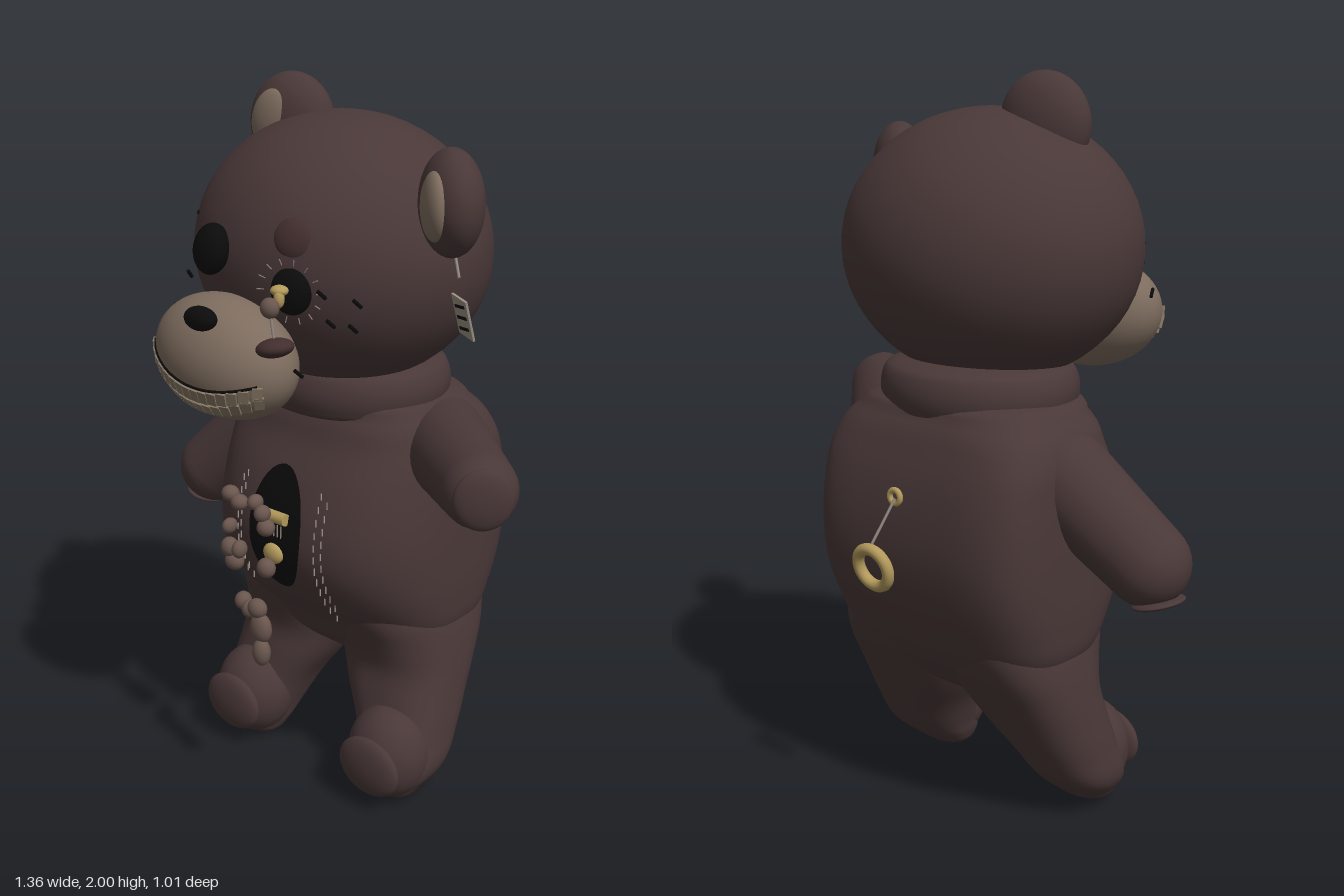
import * as THREE from 'three';

const mat = (name, color) => Object.assign(new THREE.MeshStandardMaterial({ color }), { name });
const V = (x, y, z) => new THREE.Vector3(x, y, z);

export function createModel() {
  const root = new THREE.Group();
  root.name = 'tornBear';
  const fur = mat('dark brown fur', 0x4a3838);
  const tan = mat('tan plush', 0x7d6c5e);
  const black = mat('black', 0x0c0b0b);
  const brass = mat('brass', 0xb39a5c);
  const gut = mat('brown stuffing', 0x6a564e);
  const socketMat = mat('reddish socket', 0x432e2e);
  const thread = mat('grey thread', 0x91877f);
  const ivory = mat('ivory teeth', 0x857663);
  const card = mat('tag card', 0x9a9284);

  const add = (name, geo, m, pos, parent = root) => {
    const mesh = new THREE.Mesh(geo, m);
    mesh.name = name;
    if (pos) mesh.position.copy(pos);
    parent.add(mesh);
    return mesh;
  };
  const ball = new THREE.SphereGeometry(1, 40, 28);
  const smallBall = new THREE.SphereGeometry(1, 16, 12);
  const blob = (name, m, p, r, parent = root, geo = ball) => {
    const mesh = add(name, geo, m, V(...p), parent);
    mesh.scale.set(...r);
    return mesh;
  };
  // Rod between two points
  const rod = (name, m, a, b, r, parent = root) => {
    const d = b.clone().sub(a);
    const mesh = add(name, new THREE.CylinderGeometry(r, r, d.length(), 6), m, a.clone().lerp(b, 0.5), parent);
    mesh.quaternion.setFromUnitVectors(V(0, 1, 0), d.normalize());
    return mesh;
  };
  // Tapered limb with round ends
  const limb = (name, a, b, r1, r2) => {
    const d = b.clone().sub(a), len = d.length(), pts = [];
    for (let i = 0; i <= 8; i++) {
      const t = (i / 8) * Math.PI / 2;
      pts.push(new THREE.Vector2(r1 * Math.sin(t), -r1 * Math.cos(t)));
    }
    for (let i = 0; i <= 8; i++) {
      const t = (i / 8) * Math.PI / 2;
      pts.push(new THREE.Vector2(r2 * Math.cos(t), len + r2 * Math.sin(t)));
    }
    add(name, new THREE.LatheGeometry(pts, 32), fur, a).quaternion.setFromUnitVectors(V(0, 1, 0), d.normalize());
  };

  // Vertical loft; each row is [y, centreX, halfWidth, frontZ, backZ, backSquareness]
  const FRONT = 2.5;
  const track = (rows) => new THREE.CubicInterpolant(rows.map((r) => r[0]), rows.flatMap((r) => r.slice(1)), 5);
  const loft = (rows, side, offset) => {
    const tr = track(rows), n = 52, c = 64, pos = [], idx = [];
    const y0 = rows[0][0], y1 = rows[rows.length - 1][0];
    for (let j = 0; j <= n; j++) {
      const y = y0 + (y1 - y0) * (0.5 - 0.5 * Math.cos((j / n) * Math.PI));
      const [cx, hx, zf, zb, square] = tr.evaluate(y);
      const zc = (zf + zb) / 2, hz = (zf - zb) / 2;
      for (let i = 0; i < c; i++) {
        const a = (i / c) * Math.PI * 2, co = Math.cos(a), si = Math.sin(a);
        const e = 2 / (si >= 0 ? FRONT : square);
        pos.push(offset + side * cx + hx * Math.sign(co) * Math.abs(co) ** e, y, zc + hz * Math.sign(si) * Math.abs(si) ** e);
        if (j < n) {
          const p = j * c + i, q = j * c + (i + 1) % c;
          idx.push(p, p + c, q, q, p + c, q + c);
        }
      }
    }
    const g = new THREE.BufferGeometry();
    g.setAttribute('position', new THREE.Float32BufferAttribute(pos, 3));
    g.setIndex(idx);
    g.computeVertexNormals();
    return g;
  };

  // Torso
  const torso = [
    [0.32, 0, 0.02, -0.1, -0.14, 2.5], [0.36, 0, 0.17, -0.02, -0.22, 2.6], [0.42, 0, 0.29, 0.05, -0.285, 2.8],
    [0.5, 0, 0.355, 0.1, -0.345, 3.2], [0.6, 0, 0.372, 0.18, -0.385, 4], [0.7, 0, 0.375, 0.23, -0.41, 4.8],
    [0.8, 0, 0.375, 0.24, -0.42, 5], [0.95, 0, 0.37, 0.2, -0.405, 5], [1.05, 0, 0.36, 0.15, -0.375, 4.5],
    [1.13, 0, 0.315, 0.12, -0.335, 3.5], [1.18, 0, 0.22, 0.07, -0.27, 3], [1.2, 0, 0.02, -0.1, -0.12, 2.5],
  ];
  add('torso', loft(torso, 1, -0.04), fur);
  const torsoTrack = track(torso);
  const bellyZ = (x, y) => {
    const [, hx, zf, zb] = torsoTrack.evaluate(y);
    const t = Math.min(1, Math.abs(x + 0.04) / hx);
    return (zf + zb) / 2 + ((zf - zb) / 2) * (1 - t ** FRONT) ** (1 / FRONT);
  };

  // Legs blending into the hips, feet and sole pads
  const leg = [
    [0, 0.265, 0.01, 0.07, 0.05, 2.2], [0.015, 0.265, 0.065, 0.1, 0.01, 2.2], [0.05, 0.267, 0.097, 0.13, -0.04, 2.3],
    [0.1, 0.275, 0.12, 0.13, -0.1, 2.4], [0.2, 0.255, 0.14, 0.1, -0.17, 2.5], [0.3, 0.22, 0.166, 0.075, -0.23, 2.6],
    [0.38, 0.198, 0.18, 0.06, -0.275, 2.8], [0.46, 0.184, 0.184, 0.078, -0.32, 3], [0.54, 0.172, 0.18, 0.11, -0.35, 3],
    [0.64, 0.16, 0.16, 0.12, -0.36, 3],
  ];
  for (const s of [-1, 1]) {
    const n = s > 0 ? 'left' : 'right';
    add(n + 'Leg', loft(leg, s, -0.037), fur);
    blob(n + 'Foot', fur, [-0.03 + s * 0.267, 0.15, 0.07], [0.122, 0.14, 0.11]);
    blob(n + 'SolePad', fur, [-0.03 + s * 0.27, 0.14, 0.165], [0.105, 0.088, 0.032]);
  }

  // Arms and paw pads: left reaches forward, right hangs
  limb('leftArm', V(0.2, 1.03, -0.17), V(0.565, 1.062, 0.14), 0.13, 0.098);
  blob('leftPawPad', fur, [0.62, 1.068, 0.2], [0.075, 0.08, 0.025]).rotation.y = 0.75;
  limb('rightArm', V(-0.35, 0.985, -0.12), V(-0.565, 0.785, -0.05), 0.128, 0.113);
  blob('rightPawPad', fur, [-0.605, 0.69, -0.055], [0.068, 0.014, 0.075]).rotation.z = -0.25;

  // Collar
  const collar = [[0.15, 1.11], [0.25, 1.12], [0.272, 1.145], [0.28, 1.185], [0.272, 1.225], [0.25, 1.25], [0.18, 1.27]];
  const col = add('collar', new THREE.LatheGeometry(new THREE.SplineCurve(collar.map(([x, y]) => new THREE.Vector2(x, y))).getPoints(24), 48), fur, V(-0.035, 0, -0.09));
  col.scale.z = 0.9;

  // Head and ears
  const HC = V(-0.037, 1.552, -0.042), HR = V(0.418, 0.36, 0.378);
  const faceZ = (x, y) => HC.z + HR.z * Math.sqrt(Math.max(0, 1 - ((x - HC.x) / HR.x) ** 2 - ((y - HC.y) / HR.y) ** 2));
  blob('head', fur, HC.toArray(), HR.toArray());
  const ear = (name, p, yaw, roll, inX) => {
    const g = new THREE.Group();
    g.name = name;
    g.position.set(...p);
    g.rotation.set(0, yaw, roll);
    root.add(g);
    blob('outerEar', fur, [0, 0, 0], [0.126, 0.132, 0.078], g);
    blob('innerEar', tan, [inX, 0, 0.05], [0.066, 0.085, 0.034], g);
  };
  ear('rightEar', [-0.2, 1.868, -0.025], 0.15, -0.25, -0.028);
  ear('leftEar', [0.393, 1.733, 0.055], -0.68, 0, 0.04);

  // Muzzle, nose and toothy grin
  const muzzle = new THREE.Group();
  muzzle.name = 'muzzle';
  muzzle.position.set(-0.075, 1.33, 0.365);
  muzzle.rotation.z = -0.15;
  root.add(muzzle);
  const MR = [0.218, 0.157, 0.143];
  blob('snout', tan, [0, 0, 0], MR, muzzle);
  blob('nose', black, [-0.06, 1.45, 0.465], [0.05, 0.031, 0.032]);
  const onSnout = (x, y) => V(x, y, MR[2] * Math.sqrt(Math.max(0, 1 - (x / MR[0]) ** 2 - (y / MR[1]) ** 2)));
  const lip = [];
  for (let i = 0; i < 15; i++) {
    const x = -0.185 + i * 0.0264;
    lip.push(onSnout(x, -0.047 + 1.35 * x * x));
    for (const [base, curve] of [[-0.068, 1.4], [-0.106, 1.75]]) {
      const p = onSnout(x, base + curve * x * x);
      const normal = V(p.x / MR[0] ** 2, p.y / MR[1] ** 2, p.z / MR[2] ** 2).normalize();
      add('tooth', new THREE.BoxGeometry(0.0255, 0.037, 0.012), ivory, p, muzzle).quaternion.setFromUnitVectors(V(0, 0, 1), normal);
    }
  }
  add('lipLine', new THREE.TubeGeometry(new THREE.CatmullRomCurve3(lip), 40, 0.004, 6), black, null, muzzle);

  // Button eye, empty socket and broken eye
  const eye = blob('rightEye', black, [-0.15, 1.59, 0.335], [0.063, 0.066, 0.042]);
  eye.rotation.set(-0.25, -0.3, 0);
  blob('browSocket', socketMat, [0.095, 1.64, 0.283], [0.06, 0.058, 0.028]).rotation.set(-0.25, 0.35, 0);
  blob('leftEyeHole', black, [0.1, 1.515, 0.307], [0.055, 0.06, 0.032]).rotation.y = 0.3;
  for (let i = 0; i < 14; i++) {
    const a = (i / 14) * Math.PI * 2;
    const at = (r, h) => {
      const x = 0.1 + Math.cos(a) * r, y = 1.515 + Math.sin(a) * r;
      return V(x, y, faceZ(x, y) + h);
    };
    rod('eyeStitch', thread, at(0.068, 0.006), at(0.084, 0.012), 0.0016);
  }
  blob('eyeSpring', brass, [0.1, 1.525, 0.35], [0.024, 0.014, 0.022], root, smallBall);
  blob('eyeCog', brass, [0.108, 1.508, 0.36], [0.014, 0.024, 0.014], root, smallBall);
  blob('eyeBead', gut, [0.105, 1.49, 0.39], [0.026, 0.026, 0.022], root, smallBall);
  rod('eyeStalk', thread, V(0.105, 1.49, 0.39), V(0.125, 1.4, 0.395), 0.004);
  blob('danglingEye', socketMat, [0.125, 1.395, 0.395], [0.05, 0.024, 0.046]).rotation.z = 0.2;

  // Cheek bristles
  [[0.24, 1.46, 0.32], [0.285, 1.45, 0.29], [0.22, 1.53, 0.33], [0.29, 1.51, 0.28], [0.17, 1.33, 0.36],
    [-0.31, 1.64, 0.22], [-0.375, 1.555, 0.17], [-0.305, 1.49, 0.27], [-0.305, 1.41, 0.32]].forEach(([x, y, z]) => {
    const s = Math.sign(x);
    rod('bristle', black, V(x - s * 0.004, y + 0.01, z + 0.01), V(x + s * 0.004, y - 0.01, z - 0.01), 0.005);
  });

  // Ear tag on a string
  rod('tagString', thread, V(0.41, 1.62, 0.06), V(0.452, 1.565, 0.095), 0.004);
  const tag = new THREE.Group();
  tag.name = 'earTag';
  tag.position.set(0.453, 1.465, 0.075);
  tag.rotation.set(0.35, -0.4, 0);
  root.add(tag);
  add('card', new THREE.BoxGeometry(0.066, 0.112, 0.006), card, null, tag);
  for (const y of [-0.032, 0, 0.032]) {
    add('tagMark', new THREE.BoxGeometry(0.046, 0.008, 0.004), black, V(0, y, 0.003), tag).rotation.z = 0.25;
  }

  // Belly tear, following the torso surface
  const tear = new THREE.RingGeometry(0.001, 1, 40, 10), tp = tear.attributes.position;
  for (let i = 0; i < tp.count; i++) {
    const x = -0.04 + tp.getX(i) * 0.095, y = 0.81 + tp.getY(i) * 0.18;
    tp.setXYZ(i, x, y, bellyZ(x, y) + 0.006);
  }
  tear.computeVertexNormals();
  add('bellyTear', tear, black);

  // Loose stitches beside the tear
  for (const [x, lo, hi] of [[-0.17, 0.62, 0.97], [-0.185, 0.64, 0.95], [0.1, 0.55, 0.97], [0.122, 0.6, 0.94]]) {
    for (let y = lo; y < hi; y += 0.035) {
      const z = bellyZ(x, y);
      rod('bellyStitch', thread, V(x - 0.004, y + 0.008, z + 0.003), V(x + 0.004, y - 0.008, z + 0.012), 0.002);
    }
  }

  // Clockwork inside the tear
  const bar = add('brassDrum', new THREE.CylinderGeometry(0.017, 0.017, 0.09, 12), brass, V(-0.035, 0.855, 0.245));
  bar.rotation.z = Math.PI / 2;
  for (let i = 0; i < 6; i++) rod('comb', thread, V(-0.07 + i * 0.013, 0.835, 0.25), V(-0.07 + i * 0.013, 0.8, 0.252), 0.002);
  blob('brassHeart', brass, [-0.037, 0.745, 0.248], [0.035, 0.03, 0.018], root, smallBall);

  // Spilled stuffing: [x, y, z, rx, ry]
  [[-0.108, 0.932, 0.335, 0.026, 0.022], [-0.075, 0.915, 0.335, 0.025, 0.022], [-0.02, 0.928, 0.33, 0.02, 0.022],
    [0.01, 0.905, 0.335, 0.022, 0.024], [0.022, 0.868, 0.335, 0.026, 0.024], [-0.115, 0.835, 0.335, 0.018, 0.022],
    [-0.112, 0.775, 0.34, 0.026, 0.028], [-0.1, 0.735, 0.335, 0.03, 0.026], [-0.08, 0.775, 0.335, 0.02, 0.026],
    [0.02, 0.75, 0.335, 0.028, 0.028], [-0.055, 0.635, 0.35, 0.024, 0.026],
    [-0.025, 0.622, 0.355, 0.024, 0.026], [0.008, 0.635, 0.36, 0.03, 0.028], [0.02, 0.58, 0.36, 0.035, 0.044],
    [0.027, 0.512, 0.367, 0.027, 0.04]].forEach(([x, y, z, rx, ry]) => {
    blob('stuffing', gut, [x, y, z], [rx, ry, 0.024], root, smallBall);
  });

  // Pull ring on the back
  add('ringEyelet', new THREE.TorusGeometry(0.018, 0.008, 8, 20), brass, V(-0.03, 0.94, -0.416));
  rod('pullCord', thread, V(-0.03, 0.935, -0.416), V(-0.012, 0.825, -0.485), 0.004);
  add('pullRing', new THREE.TorusGeometry(0.053, 0.016, 12, 36), brass, V(-0.01, 0.76, -0.48)).rotation.x = -0.2;

  return root;
}
